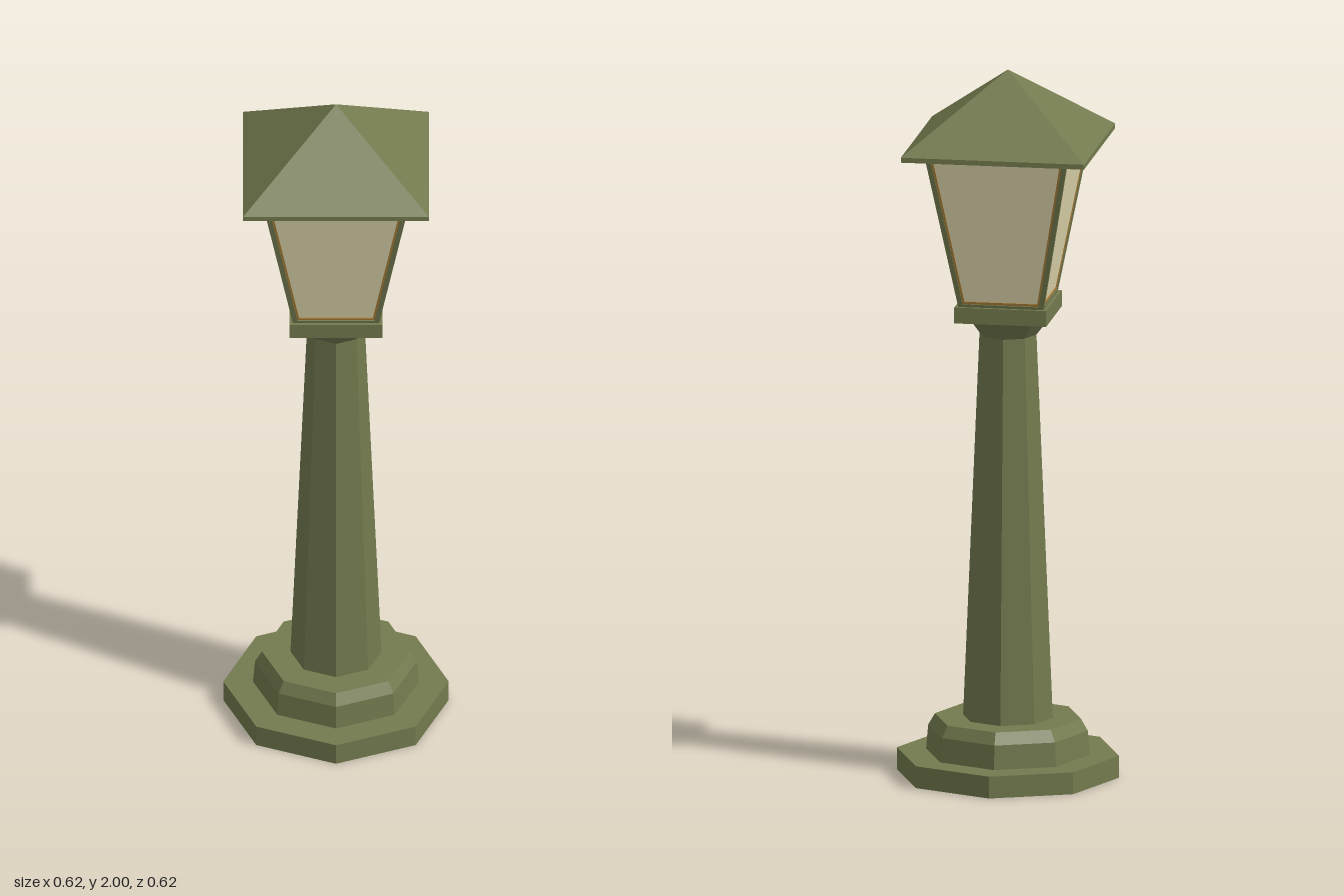
import * as THREE from 'three';

const mat = (name, color, extra = {}) => {
  const m = new THREE.MeshStandardMaterial({ color, flatShading: true, ...extra });
  m.name = name;
  return m;
};

export function createModel() {
  const green = mat('olive green paint', 0x737a4e);
  const cream = mat('cream glass', 0xe3dab0, { side: THREE.DoubleSide });
  const ochre = mat('ochre trim', 0xa9803a);
  const dark = mat('dark underside', 0x41453f);
  const lamp = new THREE.Group();
  lamp.name = 'streetLamp';

  const add = (parent, name, geometry, material) => {
    const mesh = new THREE.Mesh(geometry, material);
    mesh.name = name;
    parent.add(mesh);
    return mesh;
  };

  // Tapered prism between two heights; 8 sides have corners on the axes, 4 sides are squared up
  const prism = (name, y0, y1, r0, r1, sides, material = green) => {
    const k = sides === 4 ? Math.SQRT2 : 1;
    const g = new THREE.CylinderGeometry(r1 * k, r0 * k, y1 - y0, sides);
    if (sides === 4) g.rotateY(Math.PI / 4);
    g.translate(0, (y0 + y1) / 2, 0);
    return add(lamp, name, g, material);
  };

  // Octagonal foot with a dark bottom face, column and flared neck
  prism('basePlate', 0, 0.062, 0.312, 0.312, 8, [green, green, dark]);
  prism('plinth', 0.062, 0.13, 0.23, 0.224, 8);
  prism('plinthChamfer', 0.13, 0.163, 0.224, 0.205, 8);
  prism('column', 0.163, 1.25, 0.126, 0.08, 8);
  prism('neck', 1.25, 1.305, 0.08, 0.122, 8);

  // Square lantern seat, and roof with a thin eave
  prism('lanternSeat', 1.303, 1.348, 0.129, 0.129, 4);
  prism('eave', 1.784, 1.798, 0.257, 0.257, 4);
  prism('roof', 1.798, 2.0, 0.257, 0, 4);

  // Lantern sides: tilted trapezoid frame, trim and pane
  const y0 = 1.345, y1 = 1.787, w0 = 0.119, w1 = 0.2;
  const tilt = Math.atan2(w1 - w0, y1 - y0);
  const len = Math.hypot(w1 - w0, y1 - y0);
  const outline = (inset, low, high) => {
    const w = (y) => w0 + ((w1 - w0) * y) / len - inset;
    return [[-w(low), low], [w(low), low], [w(len - high), len - high], [-w(len - high), len - high]]
      .map(([x, y]) => new THREE.Vector2(x, y));
  };
  const ring = (outer, inner, depth, front) => {
    const shape = new THREE.Shape(outer);
    shape.holes.push(new THREE.Path(inner));
    return new THREE.ExtrudeGeometry(shape, { depth, bevelEnabled: false })
      .translate(0, 0, front - depth);
  };
  const edge = outline(0, 0, 0);
  const opening = outline(0.014, 0.011, 0.008);
  const paneEdge = outline(0.02, 0.018, 0.012);

  for (let i = 0; i < 4; i++) {
    const side = new THREE.Group();
    side.name = 'lanternSide';
    side.rotation.y = (i * Math.PI) / 2;
    const panel = new THREE.Group();
    panel.name = 'lanternPanel';
    panel.position.set(0, y0, w0);
    panel.rotation.x = tilt;
    add(panel, 'frame', ring(edge, opening, 0.014, 0), green);
    add(panel, 'trim', ring(opening, paneEdge, 0.006, -0.003), ochre);
    add(panel, 'pane', new THREE.ShapeGeometry(new THREE.Shape(paneEdge)).translate(0, 0, -0.006), cream);
    side.add(panel);
    lamp.add(side);
  }
  return lamp;
}
